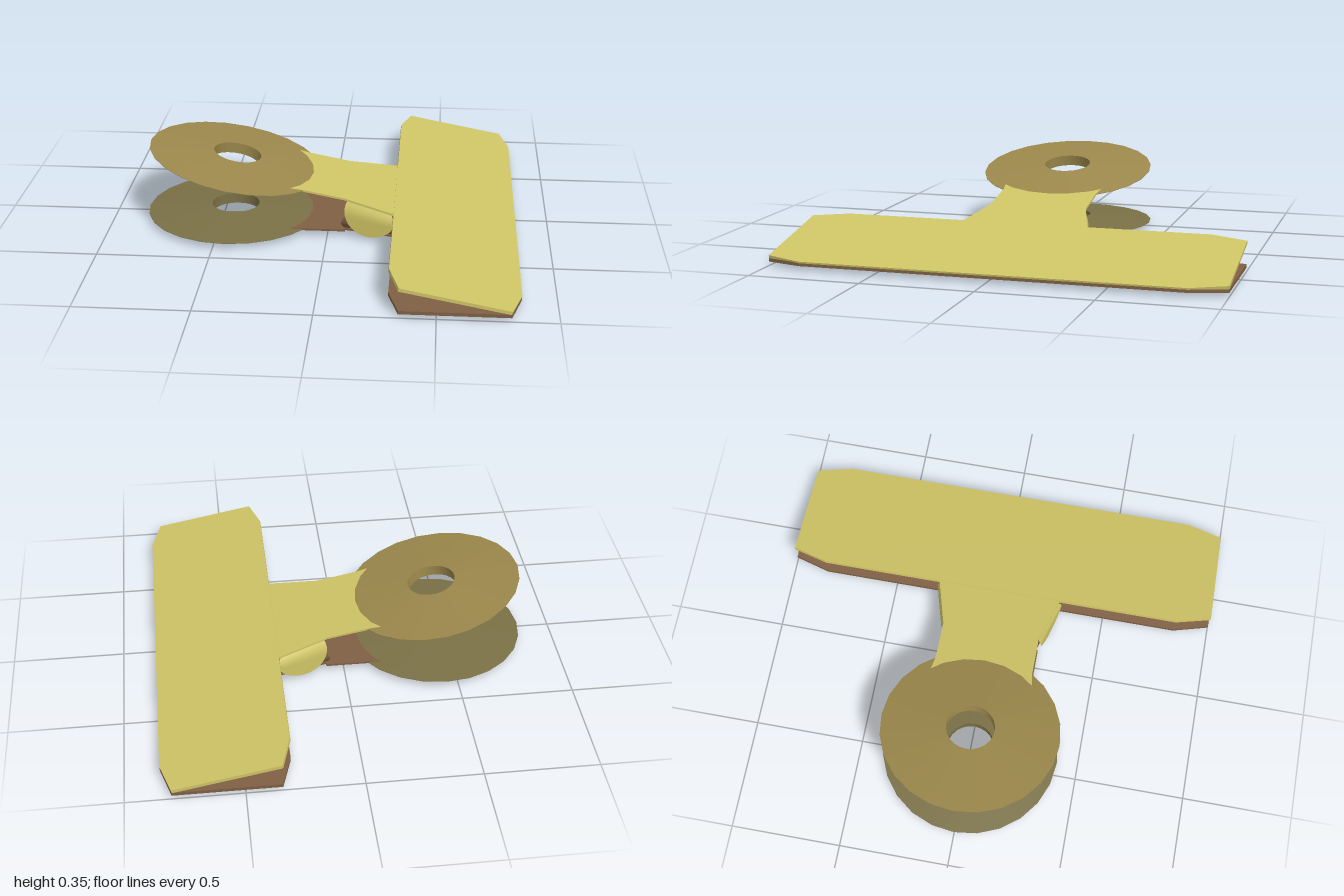
import * as THREE from 'three';

const TILT = 0.19;
const plateY = (x) => 0.193 - Math.tan(TILT) * x;
const mat = (color) => new THREE.MeshStandardMaterial({ color, side: THREE.DoubleSide });

function add(parent, name, geometry, material) {
  const mesh = new THREE.Mesh(geometry, material);
  mesh.name = name;
  parent.add(mesh);
  return mesh;
}

// Flat T-shaped outline in x and z, extruded about y = 0
function slab(half, thickness) {
  const pts = [...half, ...half.map(([x, z]) => [x, -z]).reverse()];
  const shape = new THREE.Shape(pts.map(([x, z]) => new THREE.Vector2(x, z)));
  return new THREE.ExtrudeGeometry(shape, { depth: thickness, bevelEnabled: false })
    .translate(0, 0, -thickness / 2).rotateX(Math.PI / 2);
}

// Ring that is thick at its hole and tapers to a sharp rim
function gripRing() {
  const profile = [[0.11, -0.025], [0.405, -0.001], [0.405, 0.001], [0.11, 0.025], [0.11, -0.025]];
  const pts = [];
  // repeated corner points keep the edges crisp
  profile.forEach(([r, y], i) => {
    if (i > 0) {
      const [r0, y0] = profile[i - 1];
      pts.push(new THREE.Vector2(r0 + (r - r0) * 0.01, y0 + (y - y0) * 0.01));
      pts.push(new THREE.Vector2(r0 + (r - r0) * 0.99, y0 + (y - y0) * 0.99));
    }
    pts.push(new THREE.Vector2(r, y));
  });
  return new THREE.LatheGeometry(pts, 24);
}

// Rounded ear bent away from the edge of a plate
function ear(side, root, tipY, halfWidth, inset) {
  const g = new THREE.PlaneGeometry(2, 1, 10, 12);
  const p = g.attributes.position;
  for (let i = 0; i < p.count; i++) {
    const v = Math.sin((0.5 - p.getY(i)) * Math.PI / 2);
    const s = -0.5 + 1.5 * v;
    const x = 0.19 + p.getX(i) * halfWidth * Math.sqrt(Math.max(0, 1 - s * s));
    const edge = 0.24 + (x - 0.09) * 0.28 - inset;
    const bend = 0.025 * (1 - Math.sin(Math.min(1, v * 2.5) * Math.PI / 2));
    p.setXYZ(i, x, THREE.MathUtils.lerp(root(x), tipY, v), side * (edge - bend));
  }
  g.computeVertexNormals();
  return g;
}

const neckOutline = (inset) => [
  [-0.18, 0.237], [-0.11, 0.225], [0.08, 0.225], [0.08, 0.238 - inset], [0.3, 0.3 - inset],
];
const bladeOutline = [[0.3, 0.3], [0.3, 0.84], [0.345, 1], [0.805, 1], [0.85, 0.84]];

function jaw(name, inset, plateMat, ringMat, ringX) {
  const g = new THREE.Group();
  g.name = name;
  add(g, 'neckPlate', slab(neckOutline(inset), 0.009), plateMat);
  add(g, 'blade', slab(bladeOutline, 0.015), plateMat);
  add(g, 'gripRing', gripRing(), ringMat).position.x = ringX;
  return g;
}

export function createModel() {
  const model = new THREE.Group();
  model.name = 'bulldogClip';
  const yellow = mat(0xcfc466), brown = mat(0x806044);

  // Upper jaw slopes down to meet the lower one at the blade edge
  const upper = jaw('upperJaw', 0.012, yellow, mat(0x9c884c), -0.435);
  upper.rotation.z = -TILT;
  upper.position.y = 0.193;
  upper.scale.x = 1 / Math.cos(TILT);
  upper.getObjectByName('gripRing').scale.x = Math.cos(TILT);

  const lower = jaw('lowerJaw', 0.03, brown, mat(0x7a7046), -0.445);
  lower.position.y = 0.0245;
  model.add(upper, lower);

  // Hinge ears: the upper pair overlaps the lower pair
  for (const side of [1, -1]) {
    const tag = side > 0 ? 'Front' : 'Back';
    add(model, 'upperEar' + tag, ear(side, plateY, 0.015, 0.112, 0), yellow);
    add(model, 'lowerEar' + tag, ear(side, () => 0.025, 0.12, 0.128, 0.016), brown);
  }
  return model;
}
